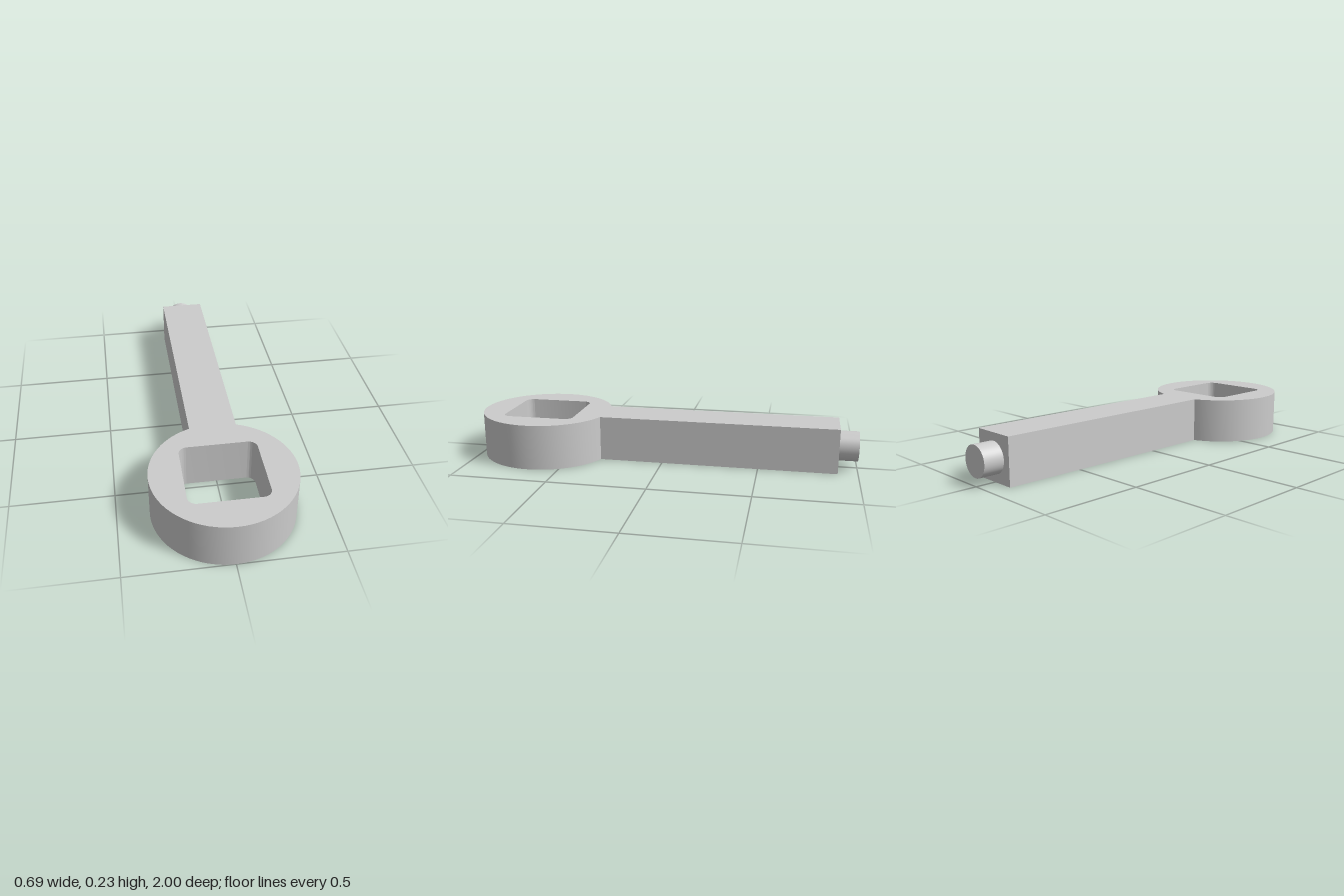
import * as THREE from 'three';
import { toCreasedNormals } from 'three/addons/utils/BufferGeometryUtils.js';

const HEIGHT = 0.232;
const RING_Z = 0.655, RING_R = 0.345;
const ARM_HALF = 0.116, ARM_END = -0.9;
const HOLE_HALF = 0.188, HOLE_R = 0.042;
const PIN_R = 0.077;

// Rounded square opening, centred on (0, cy)
function roundedSquare(cy, h, r) {
  const path = new THREE.Path();
  const k = h - r;
  [[k, k], [-k, k], [-k, -k], [k, -k]].forEach(([x, y], i) => {
    path.absarc(x, cy + y, r, i * Math.PI / 2, (i + 1) * Math.PI / 2, false);
  });
  path.closePath();
  return path;
}

export function createModel() {
  const model = new THREE.Group();
  model.name = 'socketKey';
  const material = new THREE.MeshStandardMaterial({ color: 0xcccccc });

  // Ring and square arm as one plan outline (shape y = -z)
  const a = Math.acos(ARM_HALF / RING_R);
  const outline = new THREE.Shape();
  outline.moveTo(ARM_HALF, -ARM_END);
  outline.lineTo(-ARM_HALF, -ARM_END);
  outline.absarc(0, -RING_Z, RING_R, Math.PI - a, 2 * Math.PI + a, false);
  outline.closePath();
  outline.holes.push(roundedSquare(-RING_Z, HOLE_HALF, HOLE_R));

  const extruded = new THREE.ExtrudeGeometry(outline, {
    depth: HEIGHT, bevelEnabled: false, curveSegments: 32,
  });
  extruded.rotateX(-Math.PI / 2);
  const body = new THREE.Mesh(toCreasedNormals(extruded, 0.5), material);
  body.name = 'ringAndArm';
  model.add(body);

  // Round pin on the end of the arm
  const length = 1 + ARM_END;
  const pinGeometry = new THREE.CylinderGeometry(PIN_R, PIN_R, length, 48);
  pinGeometry.rotateX(Math.PI / 2);
  const pin = new THREE.Mesh(pinGeometry, material);
  pin.name = 'endPin';
  pin.position.set(0, HEIGHT / 2, ARM_END - length / 2);
  model.add(pin);

  return model;
}
